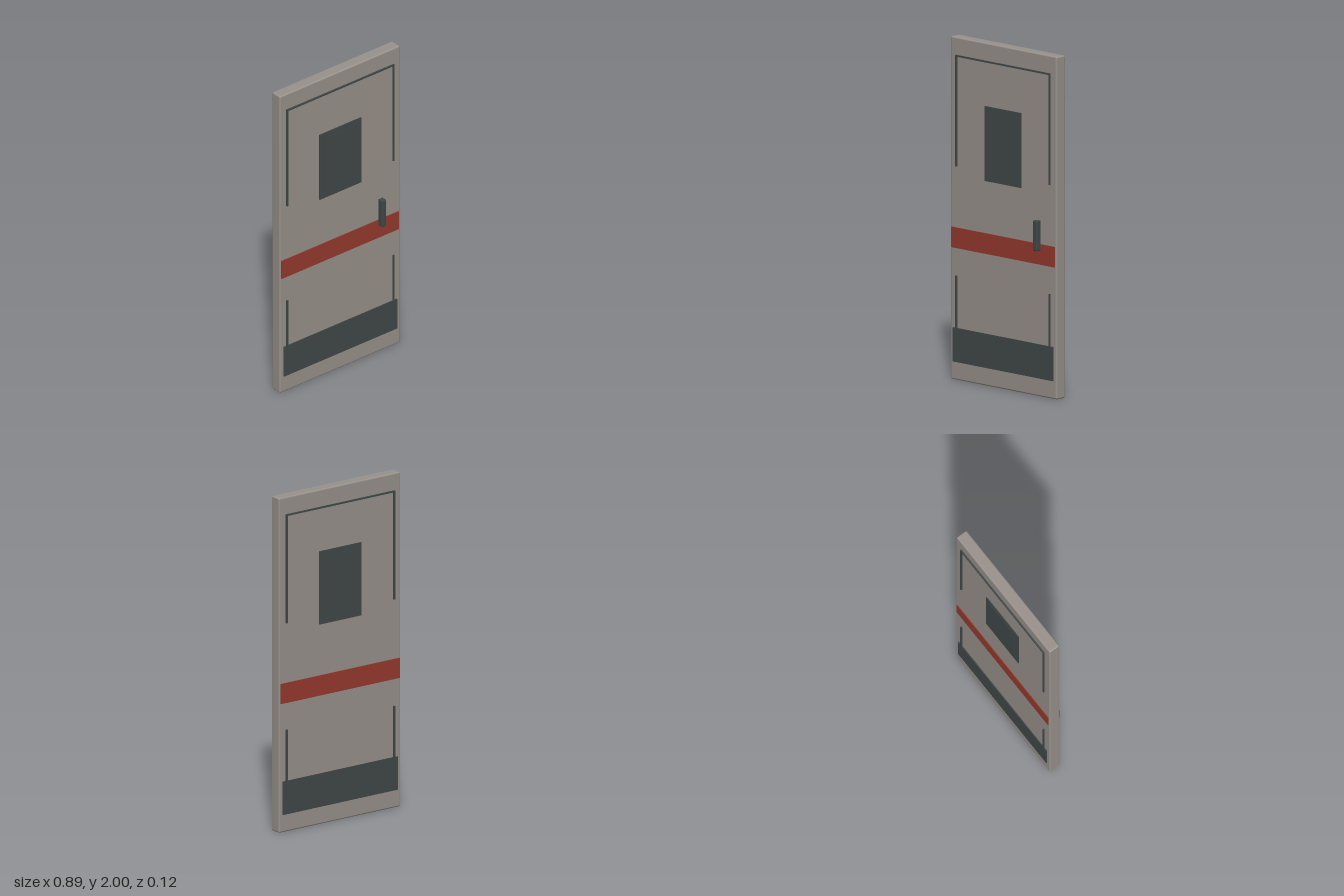
import * as THREE from 'three';
import { RoundedBoxGeometry } from 'three/addons/geometries/RoundedBoxGeometry.js';

const material = (name, color) => {
  const m = new THREE.MeshStandardMaterial({ color });
  m.name = name;
  return m;
};

export function createModel() {
  const door = new THREE.Group();
  door.name = 'door';
  const panelGrey = material('warm grey', 0x99928c);
  const red = material('rust red', 0x963a2d);
  const dark = material('dark slate', 0x414848);

  const depth = 0.072;
  const centreZ = -0.014;

  const add = (parent, name, geometry, mat, x, y, z) => {
    const mesh = new THREE.Mesh(geometry, mat);
    mesh.name = name;
    mesh.position.set(x, y, z);
    parent.add(mesh);
    return mesh;
  };

  // Door leaf with softened edges
  add(door, 'leaf', new RoundedBoxGeometry(0.886, 2, depth, 3, 0.009), panelGrey, 0, 1, centreZ);

  // Thin plates and trim, repeated on both faces
  for (const side of [1, -1]) {
    const face = new THREE.Group();
    face.name = side > 0 ? 'frontFace' : 'backFace';
    door.add(face);

    // Plate spanning x0..x1 and y0..y1, standing proud of the leaf
    const plate = (name, mat, x0, x1, y0, y1, proud) => add(
      face, name, new THREE.BoxGeometry(x1 - x0, y1 - y0, proud + 0.002), mat,
      (x0 + x1) / 2, (y0 + y1) / 2, centreZ + side * (depth / 2 + proud / 2 - 0.001));

    plate('stripe', red, -0.433, 0.433, 0.77, 0.89, 0.005);
    plate('kickPlate', dark, -0.418, 0.418, 0.105, 0.304, 0.006);
    plate('windowFrame', dark, -0.153, 0.153, 1.195, 1.632, 0.006);
    plate('windowPane', dark, -0.122, 0.122, 1.226, 1.601, 0.008);

    // Trim lines
    plate('topTrim', dark, -0.396, 0.396, 1.888, 1.897, 0.0095);
    for (const x of [-0.391, 0.391]) {
      plate('upperTrim', dark, x - 0.005, x + 0.005, 1.247, 1.889, 0.0095);
      plate('lowerTrim', dark, x - 0.005, x + 0.005, 0.175, 0.61, 0.0095);
    }
  }

  // Pull handle on the front
  add(door, 'handle', new RoundedBoxGeometry(0.032, 0.178, 0.034, 2, 0.005), dark, 0.298, 0.94, 0.039);

  return door;
}
